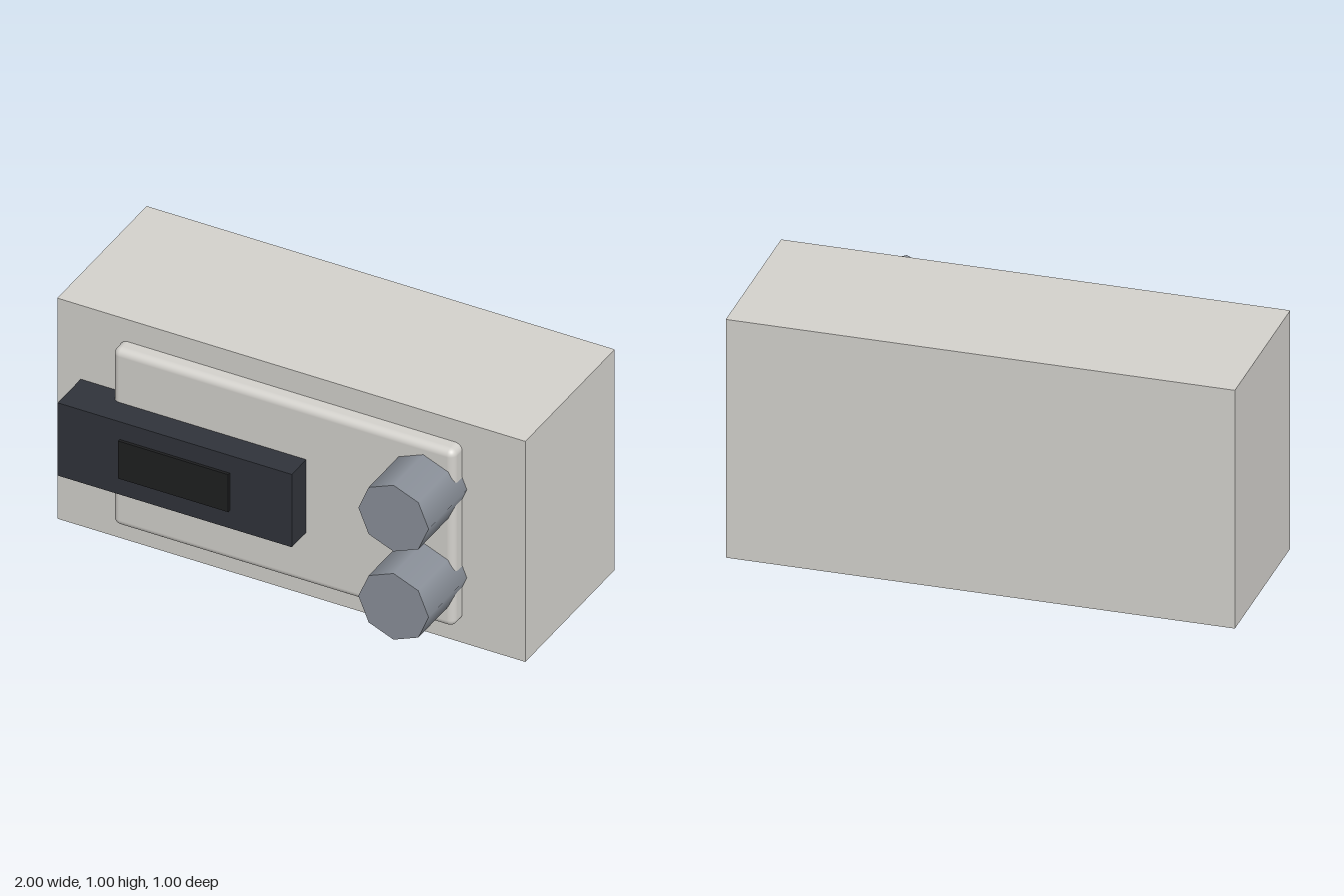
import * as THREE from 'three';
import { RoundedBoxGeometry } from 'three/addons/geometries/RoundedBoxGeometry.js';

const paint = (color) => new THREE.MeshStandardMaterial({ color });

export function createModel() {
  const model = new THREE.Group();
  const shell = paint(0xd3d1cc);
  const metal = paint(0x8a9099);
  const dark = paint(0x30333a);
  const black = paint(0x1e1f20);

  const add = (name, geometry, material, x, y, z) => {
    const mesh = new THREE.Mesh(geometry, material);
    mesh.name = name;
    mesh.position.set(x, y, z);
    model.add(mesh);
  };

  // Main housing
  add('housing', new THREE.BoxGeometry(2, 1, 0.7), shell, 0, 0.5, -0.15);

  // Raised front panel with softened edges, half sunk into the housing
  add('frontPanel', new RoundedBoxGeometry(1.46, 0.8, 0.134, 4, 0.03), shell, 0, 0.5, 0.2);

  // Display block and its slightly proud screen
  add('displayBlock', new THREE.BoxGeometry(1, 0.33, 0.18), dark, -0.4, 0.5, 0.29);
  add('screen', new THREE.BoxGeometry(0.47, 0.17, 0.02), black, -0.4, 0.5, 0.382);

  // Two eight-sided knobs pointing forward
  const knob = new THREE.CylinderGeometry(0.15, 0.15, 0.3, 8).rotateX(Math.PI / 2);
  for (const [name, y] of [['upperKnob', 0.7], ['lowerKnob', 0.3]]) {
    add(name, knob, metal, 0.6, y, 0.35);
  }

  return model;
}
